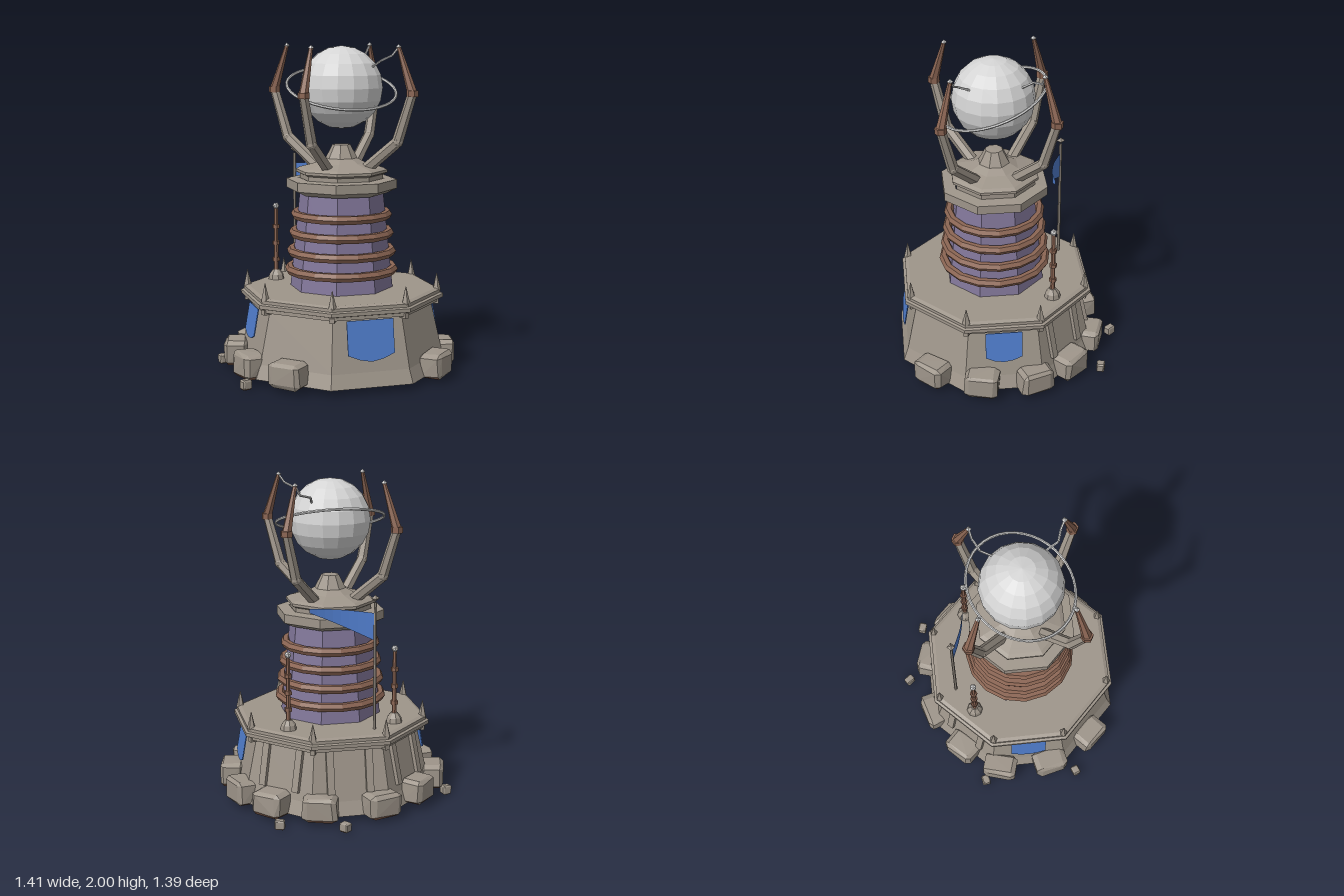
import * as THREE from 'three';
import { ConvexGeometry } from 'three/addons/geometries/ConvexGeometry.js';

const mat = (name, color, side = THREE.FrontSide) =>
  new THREE.MeshStandardMaterial({ name, color, side, flatShading: true });
const V = (x, y, z) => new THREE.Vector3(x, y, z);

export function createModel() {
  const stone = mat('stone', 0x9e958a, THREE.DoubleSide);
  const copper = mat('copper', 0x8c6654);
  const purple = mat('purple wall', 0x83789b);
  const blue = mat('blue cloth', 0x4f7ccb, THREE.DoubleSide);
  const silver = mat('silver', 0xd4d4d4);

  const model = new THREE.Group();
  const tower = new THREE.Group();
  tower.name = 'tower';
  tower.position.set(0.023, 0, 0.083);
  model.add(tower);

  let seed = 7;
  const rnd = () => (seed = (seed * 16807) % 2147483647) / 2147483647;

  const add = (name, geo, material, parent = tower) => {
    const m = new THREE.Mesh(geo, material);
    m.name = name;
    parent.add(m);
    return m;
  };
  // Octagonal turned part, flats facing the front; radii measured to the flats
  const octagon = (name, profile, material) => add(name, new THREE.LatheGeometry(
    profile.map(([r, y]) => new THREE.Vector2(r / Math.cos(Math.PI / 8), y)), 8, Math.PI / 8), material);
  // Tapered rod between two points
  const rod = (name, a, b, r0, r1, material, sides = 6) => {
    const dir = b.clone().sub(a);
    const m = add(name, new THREE.CylinderGeometry(r1, r0, dir.length(), sides), material);
    m.position.copy(a).add(b).multiplyScalar(0.5);
    m.quaternion.setFromUnitVectors(V(0, 1, 0), dir.normalize());
    return m;
  };
  // Chipped block with bare earth underneath
  const rock = (name, x, y, z, w, h, d, yaw) => {
    const pts = [];
    for (const sx of [-1, 1]) for (const sy of [-1, 1]) for (const sz of [-1, 1])
      for (let k = 0; k < 3; k++) {
        const c = [0, 1, 2].map(i => (i === k ? 0.5 : 0.36) + (rnd() - 0.5) * 0.06);
        pts.push(V(sx * c[0] * w, sy * c[1] * h, sz * c[2] * d));
      }
    const geo = new ConvexGeometry(pts);
    const n = geo.attributes.normal;
    for (let i = 0; i < n.count; i += 3) geo.addGroup(i, 3, n.getY(i) < -0.6 ? 1 : 0);
    const m = add(name, geo, [stone, copper]);
    m.position.set(x, y, z);
    m.rotation.y = yaw;
  };

  // Hollow base, cornice and deck
  octagon('baseWall', [[0.605, 0.035], [0.575, 0.12], [0.51, 0.425]], stone);
  octagon('cornice', [[0.51, 0.425], [0.55, 0.43], [0.55, 0.45], [0.578, 0.458], [0.578, 0.48],
    [0.562, 0.486], [0.562, 0.505], [0.54, 0.515], [0, 0.515]], stone);

  // Spikes and small brackets at the corners
  for (let i = 0; i < 8; i++) {
    const a = (i + 0.5) * Math.PI / 4, s = Math.sin(a), c = Math.cos(a);
    rod('cornerSpike', V(s * 0.585, 0.5, c * 0.585), V(s * 0.585, 0.605, c * 0.585), 0.027, 0.002, stone, 5);
    const b = add('cornerBracket', new THREE.BoxGeometry(0.03, 0.03, 0.05), stone);
    b.position.set(s * 0.575, 0.432, c * 0.575);
    b.rotation.y = a;
  }

  // Pilasters on the three rear walls
  for (const k of [3, 4, 5]) for (const x of [-0.12, 0.12]) {
    const wall = new THREE.Group();
    wall.name = 'pilasterMount';
    wall.rotation.y = k * Math.PI / 4;
    tower.add(wall);
    const p = add('pilaster', new THREE.BoxGeometry(0.045, 0.26, 0.035), stone, wall);
    p.position.set(x, 0.295, 0.543);
    p.rotation.x = -0.21;
  }

  // Banners on the front and both sides
  const banner = (yaw, half, side, tip) => {
    const mount = new THREE.Group();
    mount.name = 'bannerMount';
    mount.rotation.y = yaw;
    tower.add(mount);
    const shape = new THREE.Shape([[-half, 0], [-half, -side], [-half * 0.5, -(side + tip) / 2 - 0.008], [0, -tip],
      [half * 0.5, -(side + tip) / 2 - 0.008], [half, -side], [half, 0]].map(p => new THREE.Vector2(...p)));
    const b = add('banner', new THREE.ExtrudeGeometry(shape, { depth: 0.006, bevelEnabled: false }), blue, mount);
    b.position.set(0, 0.425, 0.55);
    b.rotation.x = -0.17;
  };
  banner(0, 0.142, 0.2, 0.242);
  banner(Math.PI / 2, 0.112, 0.165, 0.197);
  banner(-Math.PI / 2, 0.112, 0.165, 0.197);

  // Shaft with copper hoops
  octagon('shaft', [[0.292, 0.51], [0.235, 1.11]], purple);
  [[0.627, 0.348], [0.738, 0.336], [0.852, 0.322], [0.965, 0.31]].forEach(([y, r]) => {
    const hoop = add('hoop', new THREE.TorusGeometry(r - 0.028, 0.028, 6, 16), copper);
    hoop.rotation.x = Math.PI / 2;
    hoop.position.y = y;
  });

  // Collar and concave cap
  octagon('collar', [[0.23, 1.095], [0.255, 1.095], [0.312, 1.125], [0.312, 1.18], [0.24, 1.185]], stone);
  octagon('cap', [[0.235, 1.18], [0.235, 1.21], [0.258, 1.222], [0.258, 1.238], [0.235, 1.252], [0.2, 1.262],
    [0.14, 1.28], [0.09, 1.308], [0.05, 1.39], [0, 1.393]], stone);

  // Orb and tilted halo
  add('orb', new THREE.SphereGeometry(0.25, 16, 10), silver).position.y = 1.735;
  const halo = add('halo', new THREE.TorusGeometry(0.332, 0.009, 6, 40), silver);
  halo.position.y = 1.73;
  halo.rotation.x = Math.PI / 2 + 0.34;

  // Four jointed arms around the orb
  for (const sx of [-1, 1]) for (const sz of [-1, 1]) {
    const p = [[0.12, 1.25], [0.265, 1.42], [0.332, 1.71], [0.268, 1.98]].map(([r, y]) => V(sx * r, y, sz * r));
    rod('armLower', p[0], p[1], 0.036, 0.034, stone);
    add('armJoint', new THREE.IcosahedronGeometry(0.035, 1), stone).position.copy(p[1]);
    rod('armUpper', p[1], p[2], 0.034, 0.028, stone);
    rod('armCuff', p[2].clone().add(V(0, -0.018, 0)), p[2].clone().add(V(0, 0.018, 0)), 0.036, 0.036, copper);
    rod('armTip', p[2], p[3], 0.03, 0.012, copper);
    add('armPoint', new THREE.OctahedronGeometry(0.018), silver).position.copy(p[3]);
  }

  // Bent wires from two arm tips to the orb
  for (const path of [
    [[0.268, 1.98, -0.268], [0.235, 1.92, -0.255], [0.165, 1.9, -0.215], [0.145, 1.86, -0.15]],
    [[0.268, 1.98, 0.268], [0.235, 1.93, 0.245], [0.175, 1.9, 0.225], [0.145, 1.86, 0.15]]])
    for (let i = 0; i < 3; i++) rod('wire', V(...path[i]), V(...path[i + 1]), 0.007, 0.007, silver, 5);

  // Two copper posts on the rear of the deck
  for (const x of [-0.33, 0.33]) {
    const z = -0.325, at = y => V(x, y, z);
    rod('postFoot', at(0.51), at(0.545), 0.052, 0.045, stone, 8);
    rod('postFootTop', at(0.545), at(0.575), 0.045, 0.022, stone, 8);
    rod('post', at(0.57), at(0.97), 0.015, 0.012, copper);
    for (const y of [0.64, 0.745, 0.85]) rod('postBand', at(y - 0.012), at(y + 0.012), 0.023, 0.023, copper);
    add('postTip', new THREE.IcosahedronGeometry(0.022), silver).position.set(x, 0.98, z);
  }

  // Flagpole and waving pennant
  const pole = V(-0.178, 0, -0.433);
  rod('flagpole', pole.clone().setY(0.51), pole.clone().setY(1.3), 0.01, 0.009, stone);
  const finial = add('flagFinial', new THREE.OctahedronGeometry(0.026), stone);
  finial.position.copy(pole).setY(1.325);
  finial.scale.y = 0.75;
  const flag = new THREE.PlaneGeometry(1, 1, 8, 1), fp = flag.attributes.position;
  for (let i = 0; i < fp.count; i++) {
    const t = fp.getX(i) + 0.5, top = fp.getY(i) > 0;
    const y = top ? 1.235 + 0.025 * t : 1.065 + 0.17 * t;
    fp.setXYZ(i, pole.x + 0.38 * t, y, pole.z + 0.085 * t + 0.035 * Math.sin(t * Math.PI));
  }
  add('pennant', flag, blue);

  // Boulders round the foot, leaving the front clear
  for (const [x, z] of [[-0.185, -0.59], [0.19, -0.59], [-0.46, -0.425], [0.46, -0.425], [-0.62, -0.19],
    [0.6, -0.19], [-0.615, 0.14], [0.61, 0.14], [-0.455, 0.43], [0.46, 0.43]])
    rock('boulder', x, 0.092 + rnd() * 0.016, z, 0.21, 0.15, 0.145, Math.atan2(x, z));

  // Loose stones
  for (const [x, z] of [[0.072, -0.748], [0.443, -0.626], [-0.683, -0.296], [-0.681, 0.31]])
    rock('looseStone', x, 0.03, z, 0.06, 0.058, 0.05, rnd() * 3);

  return model;
}
